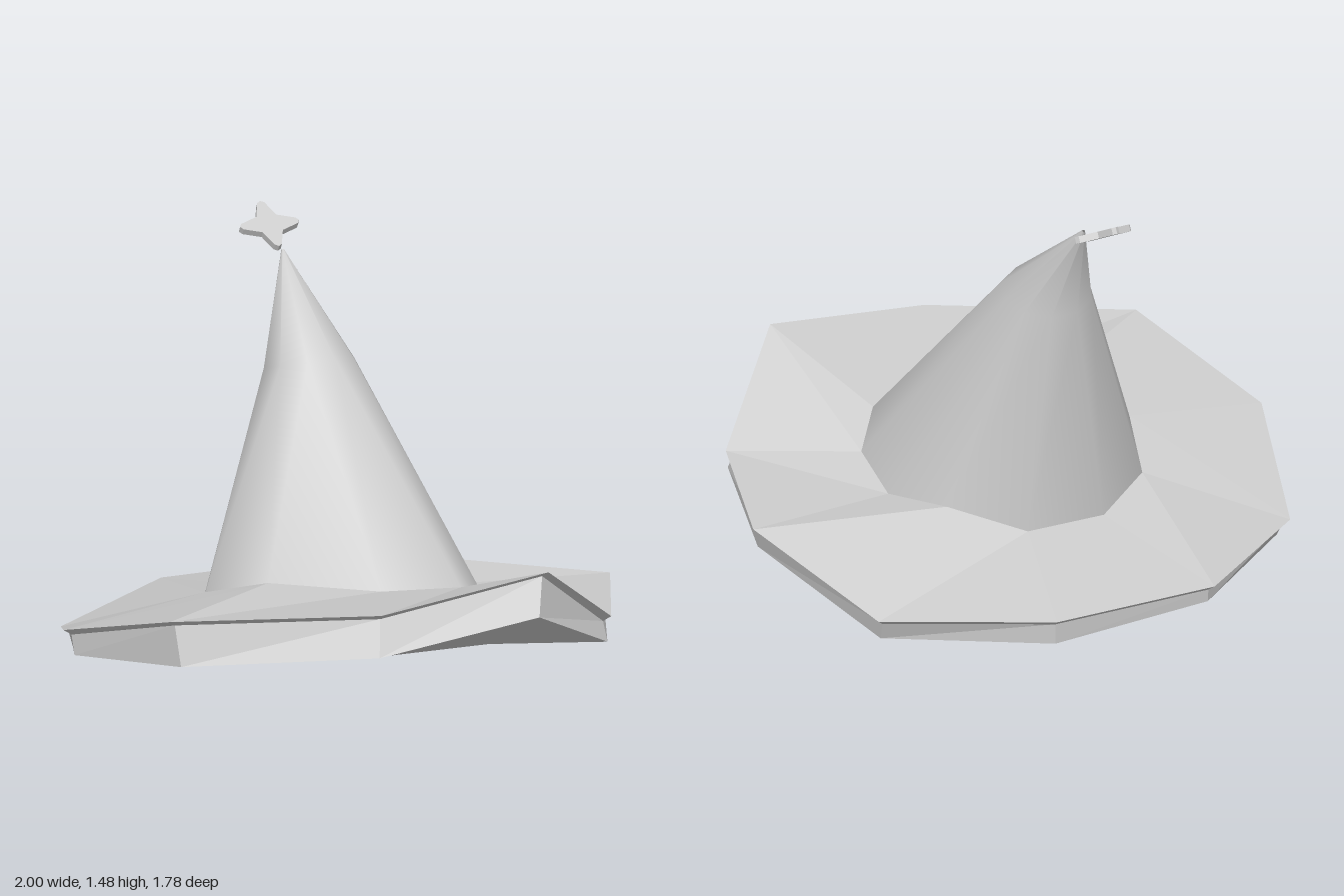
import * as THREE from 'three';

const SIDES = 10;
const grey = (flatShading) =>
  new THREE.MeshStandardMaterial({ color: 0xcccccc, flatShading, side: THREE.DoubleSide });

// Joins successive ten-point rings [x, y, z] with triangles
function loft(rings) {
  const index = [];
  for (let r = 0; r < rings.length - 1; r++) {
    for (let k = 0; k < SIDES; k++) {
      const n = (k + 1) % SIDES;
      const a = r * SIDES, b = a + SIDES;
      index.push(a + k, b + k, a + n, b + k, b + n, a + n);
    }
  }
  const geo = new THREE.BufferGeometry();
  geo.setAttribute('position', new THREE.Float32BufferAttribute(rings.flat(2), 3));
  geo.setIndex(index);
  geo.computeVertexNormals();
  return geo;
}

function named(name, geo, material) {
  const mesh = new THREE.Mesh(geo, material);
  mesh.name = name;
  return mesh;
}

// Rings start at +x and run round by way of the back (-z)
const crownBase = [
  [0.475, 0.285, 0], [0.385, 0.316, -0.25], [0.15, 0.23, -0.4], [-0.15, 0.225, -0.4],
  [-0.385, 0.272, -0.25], [-0.475, 0.363, 0], [-0.34, 0.459, 0.25], [0.02, 0.433, 0.4],
  [0.31, 0.415, 0.4], [0.44, 0.336, 0.25],
];
const brimEdge = [
  [1, 0.265, 0.01], [0.81, 0.09, -0.53], [0.31, 0.12, -0.89], [-0.31, 0.115, -0.89],
  [-0.81, 0.11, -0.53], [-1, 0.29, 0.01], [-0.81, 0.467, 0.55], [-0.15, 0.51, 0.86],
  [0.47, 0.588, 0.835], [0.805, 0.3, 0.55],
];
const brimBottom = [
  [0.96, 0.175, 0.05], [0.78, 0.005, -0.49], [0.3, 0.025, -0.86], [-0.3, 0.05, -0.86],
  [-0.78, 0.045, -0.49], [-0.97, 0.205, 0.04], [-0.78, 0.31, 0.58], [-0.17, 0.37, 0.895],
  [0.415, 0.45, 0.895], [0.78, 0.22, 0.58],
];

export function createModel() {
  const hat = new THREE.Group();
  hat.name = 'pointedHat';

  // Warped brim: top, thin lip, outer wall, and a recessed flat underside
  const lip = brimEdge.map(([x, y, z]) => [x * 0.97, y - 0.02, z * 0.97]);
  const underside = brimEdge.map(([x, , z]) => {
    const px = x * 0.72, pz = z * 0.72;
    return [px, 0.195 + 0.13 * pz - 0.01 * px, pz];
  });
  const centre = brimEdge.map(() => [0, 0.195, 0]);
  hat.add(named('brim', loft([crownBase, brimEdge, lip, brimBottom, underside, centre]), grey(true)));

  // Crown bending backwards to a fine point
  const oval = (y, z, rx, rz, tilt) =>
    Array.from({ length: SIDES }, (_, k) => {
      const t = (k / SIDES) * Math.PI * 2;
      return [rx * Math.cos(t), y - tilt * Math.sin(t), z - rz * Math.sin(t)];
    });
  const bend = oval(1.055, -0.265, 0.165, 0.133, 0.047);
  const tip = oval(1.382, -0.525, 0.005, 0.005, 0.003);
  hat.add(named('crown', loft([tip, bend, crownBase]), grey(false)));

  // Four-pointed star floating behind the tip
  const shape = new THREE.Shape();
  for (let i = 0; i < 4; i++) {
    const a = (i * Math.PI) / 2;
    const at = (r, da) => [r * Math.cos(a + da), r * Math.sin(a + da)];
    if (i === 0) shape.moveTo(...at(0.1, -0.13));
    else shape.lineTo(...at(0.1, -0.13));
    shape.lineTo(...at(0.108, 0));
    shape.lineTo(...at(0.1, 0.13));
    shape.lineTo(...at(0.052, Math.PI / 4));
  }
  shape.closePath();
  const starGeo = new THREE.ExtrudeGeometry(shape, { depth: 0.024, bevelEnabled: false });
  starGeo.translate(0, 0, -0.012);
  const star = named('star', starGeo, grey(true));
  star.position.set(0, 1.425, -0.66);
  star.rotation.x = -Math.PI / 2 + 0.5;
  hat.add(star);

  return hat;
}
